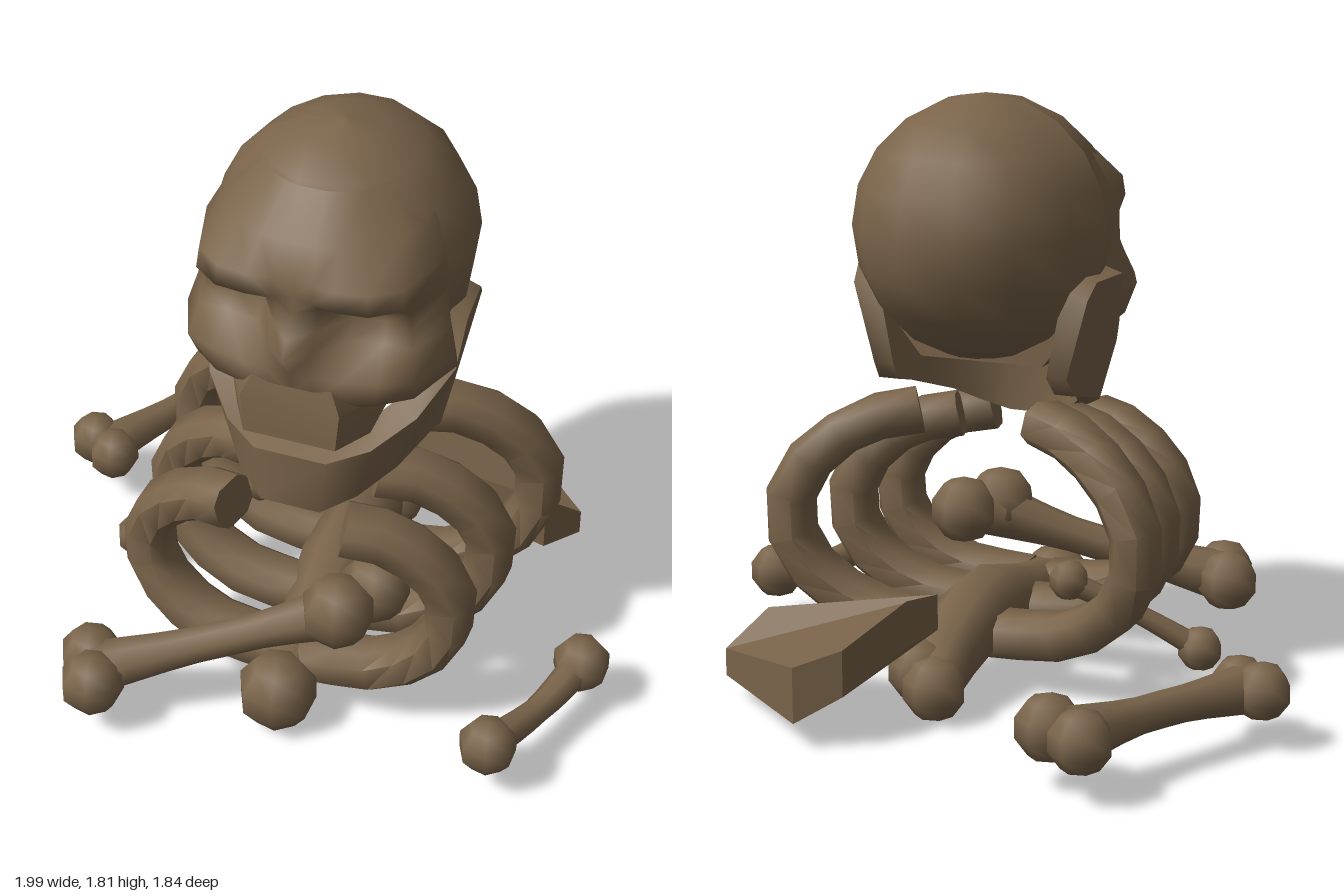
import * as THREE from 'three';
import { toCreasedNormals } from 'three/addons/utils/BufferGeometryUtils.js';

const V = (x, y, z) => new THREE.Vector3(x, y, z);
const CX = 0.075; // centre line of skull and ribcage

function indexed(points, index) {
  const g = new THREE.BufferGeometry().setFromPoints(points);
  g.setIndex(index);
  g.computeVertexNormals();
  return g;
}

// Closed solid through a row of cross-section rings
function loft(rings, crease = 0.9) {
  const n = rings[0].length, last = (rings.length - 1) * n, idx = [];
  for (let i = 0; i < rings.length - 1; i++)
    for (let j = 0; j < n; j++) {
      const a = i * n + j, b = i * n + (j + 1) % n;
      idx.push(a, b, a + n, a + n, b, b + n);
    }
  for (let j = 1; j < n - 1; j++) idx.push(0, j + 1, j, last, last + j, last + j + 1);
  return toCreasedNormals(indexed(rings.flat(), idx), crease);
}

// Eight-sided bar along a curve; radii are spread over its length, "wide" stretches
// the section along the given axis and a power below 1 makes it squarer
function bar(points, radii, segs, axis = V(0, 1, 0), wide = 1, power = 1) {
  const curve = new THREE.CatmullRomCurve3(points);
  const bulge = (v) => Math.sign(v) * Math.abs(v) ** power;
  const rings = [];
  for (let i = 0; i <= segs; i++) {
    const f = (i / segs) * (radii.length - 1), k = Math.floor(f);
    const r = THREE.MathUtils.lerp(radii[k], radii[Math.min(k + 1, radii.length - 1)], f - k) * 1.05;
    const c = curve.getPointAt(i / segs), t = curve.getTangentAt(i / segs), ring = [];
    const n = axis.clone().cross(t).normalize(), b = t.clone().cross(n);
    for (let j = 0; j < 8; j++) {
      const a = ((j + 0.5) / 8) * Math.PI * 2;
      ring.push(c.clone().addScaledVector(n, r * bulge(Math.cos(a))).addScaledVector(b, r * wide * bulge(Math.sin(a))));
    }
    rings.push(ring);
  }
  return loft(rings);
}

export function createModel() {
  const model = new THREE.Group();
  const bone = new THREE.MeshStandardMaterial({ color: 0x7a644a });
  bone.name = 'oldBone';
  const add = (parent, name, geo) => {
    const m = new THREE.Mesh(geo, bone);
    m.name = name;
    parent.add(m);
    return m;
  };
  const group = (name) => {
    const g = new THREE.Group();
    g.name = name;
    model.add(g);
    return g;
  };

  // Skull: the cranium is cut back behind the eye sockets
  const skull = group('skull');
  skull.position.x = CX;
  const cranium = new THREE.SphereGeometry(1, 14, 10);
  const p = cranium.attributes.position;
  for (let i = 0; i < p.count; i++) {
    const y = p.getY(i), z = p.getZ(i);
    const depth = 0.04 + z * (z < 0 ? 0.45 : 0.41);
    p.setXYZ(i, p.getX(i) * 0.39, 1.42 + y * (y < 0 ? 0.41 : 0.39), y < 0.4 ? Math.min(depth, 0.28) : depth);
  }
  cranium.computeVertexNormals();
  add(skull, 'cranium', cranium);

  // Face mask: rows of [height, width factor, depths from the middle outwards]
  const cols = [0, 0.06, 0.13, 0.22, 0.3, 0.36, 0.28];
  const rows = [
    [1.73, 0.6, 0.295, 0.295, 0.285, 0.255, 0.19, 0.12],
    [1.62, 0.87, 0.41, 0.41, 0.4, 0.355, 0.28, 0.15],
    [1.53, 1.0, 0.45, 0.465, 0.475, 0.46, 0.4, 0.2],
    [1.47, 1.02, 0.45, 0.465, 0.48, 0.47, 0.41, 0.2],
    [1.42, 1.02, 0.46, 0.41, 0.35, 0.34, 0.35, 0.2],
    [1.36, 1.03, 0.51, 0.44, 0.33, 0.32, 0.34, 0.2],
    [1.31, 1.07, 0.545, 0.49, 0.38, 0.36, 0.36, 0.22],
    [1.23, 1.13, 0.485, 0.485, 0.475, 0.45, 0.41, 0.25],
    [1.15, 1.1, 0.47, 0.47, 0.46, 0.44, 0.37, 0.18],
    [1.1, 0.95, 0.44, 0.44, 0.42, 0.36, 0.28, 0.12],
    [1.11, 0.9, 0.05, 0.05, 0.05, 0.05, 0.05, 0.05],
  ];
  const facePts = [], faceIdx = [];
  rows.forEach(([y, s, ...depth], r) => {
    for (let c = -6; c <= 6; c++) {
      const k = Math.abs(c);
      facePts.push(V(Math.sign(c) * cols[k] * s, y, k === 6 ? 0 : depth[k]));
      if (r && c < 6) {
        const d = r * 13 + c + 6, a = d - 13;
        if (c < 0) faceIdx.push(a, d, d + 1, a, d + 1, a + 1);
        else faceIdx.push(a, d, a + 1, a + 1, d, d + 1);
      }
    }
  });
  add(skull, 'face', indexed(facePts, faceIdx));

  // Upper jaw: widens into the cheeks, then closes below the nose
  const arch = (y, pts) => [...pts.map(([x, z]) => V(-x, y, z)), ...pts.slice().reverse().map(([x, z]) => V(x, y, z))];
  add(skull, 'upperJaw', loft([
    arch(1.0, [[0.2, 0], [0.205, 0.38], [0.14, 0.495]]),
    arch(1.12, [[0.3, 0], [0.25, 0.32], [0.15, 0.49]]),
    arch(1.21, [[0.25, 0], [0.2, 0.32], [0.11, 0.465]]),
  ]));

  // Lower jaw: stations of [half width, z, top, bottom] from hinge to chin
  const half = [
    [0.38, -0.09, 1.23, 0.99], [0.39, -0.04, 1.28, 0.93], [0.405, 0.13, 1.28, 0.89], [0.385, 0.16, 1.12, 0.88],
    [0.32, 0.31, 1.03, 0.84], [0.22, 0.42, 0.965, 0.79], [0.11, 0.49, 0.94, 0.755],
  ];
  const stations = [...half.map(([x, ...q]) => [-x, ...q]), ...half.slice().reverse()];
  add(skull, 'lowerJaw', loft(stations.map(([x, z, top, bottom]) => {
    const zi = z - 0.25 * Math.max(0, z - 0.1);
    return [V(x, top, z), V(x * 0.83, bottom, z), V(x * 0.66, bottom, zi), V(x * 0.8, top + 0.03, zi)];
  })));

  // Ribs: three pairs, larger towards the back
  const ribs = group('ribs');
  const path = [[0.17, 0.73, 0.085], [0.3, 0.7, 0.035], [0.44, 0.58, -0.01], [0.48, 0.45, -0.02],
    [0.43, 0.31, -0.005], [0.28, 0.2, 0.025], [0.04, 0.17, 0.04]];
  const pairs = [[0.445, 1.01, 1, 0.7], [0.17, 1.08, 1.06, 1], [-0.135, 1.2, 1.18, 1.6]];
  pairs.forEach(([z, sx, sy, sweep], i) => {
    for (const side of [-1, 1])
      add(ribs, (side > 0 ? 'leftRib' : 'rightRib') + (i + 1), bar(
        path.map(([x, y, dz]) => V(CX + side * x * sx, 0.17 + (y - 0.17) * sy, z + dz * sweep)),
        [0.068], 10, V(0, 0, 1), 1.2, 0.7));
  });

  // Loose bones: a shaft with knobs [x, y, z, radius]
  const looseBone = (name, shaft, radii, knobs) => {
    const g = group(name);
    add(g, 'shaft', bar(shaft, radii, 8));
    for (const [x, y, z, r] of knobs)
      add(g, 'knob', new THREE.SphereGeometry(r, 7, 5)).position.set(x, y, z);
  };
  looseBone('spineBone',
    [V(0.075, 0.12, 0.64), V(0.08, 0.17, 0.3), V(0.08, 0.21, 0), V(0.07, 0.17, -0.22), V(0.05, 0.1, -0.43)],
    [0.09, 0.09, 0.12, 0.11, 0.08],
    [[0.075, 0.125, 0.61, 0.125], [0.04, 0.1, -0.42, 0.1], [0.11, 0.13, -0.37, 0.1]]);
  looseBone('frontBone', [V(-0.45, 0.17, 0.75), V(-0.08, 0.28, 0.6), V(0.27, 0.4, 0.47)], [0.08, 0.055, 0.055, 0.09],
    [[-0.49, 0.17, 0.71, 0.1], [-0.44, 0.17, 0.82, 0.1], [0.23, 0.41, 0.51, 0.115], [0.3, 0.41, 0.37, 0.11]]);
  looseBone('rearBone', [V(-0.56, 0.18, -0.8), V(-0.71, 0.18, -0.51), V(-0.86, 0.17, -0.24)], [0.08, 0.05, 0.05, 0.07],
    [[-0.59, 0.18, -0.835, 0.095], [-0.47, 0.18, -0.77, 0.1], [-0.915, 0.175, -0.25, 0.088], [-0.83, 0.17, -0.2, 0.085]]);
  looseBone('sideBone', [V(0.91, 0.17, 0.23), V(0.84, 0.145, 0.43), V(0.75, 0.17, 0.65)], [0.05, 0.038, 0.05],
    [[0.91, 0.17, 0.22, 0.09], [0.75, 0.17, 0.65, 0.09]]);
  looseBone('smallBone', [V(-0.6, 0.14, 0.12), V(-0.42, 0.25, 0.05), V(-0.23, 0.35, -0.03)], [0.035, 0.028, 0.035],
    [[-0.6, 0.14, 0.12, 0.07], [-0.23, 0.355, -0.03, 0.063]]);

  // Shoulder blade: tilted slab, outline of [x, z, top, bottom]
  const outline = [[0.07, -0.33, 0.36, 0.25], [0.62, -0.37, 0.26, 0.065], [0.71, -0.48, 0.15, 0.065],
    [0.31, -0.8, 0.25, 0.08], [0.18, -0.74, 0.3, 0.16], [0.1, -0.48, 0.38, 0.24]];
  add(model, 'shoulderBlade', loft([
    outline.map(([x, z, , bottom]) => V(x, bottom, z)),
    outline.map(([x, z, top]) => V(x, top, z)),
  ], 0.4));
  return model;
}
